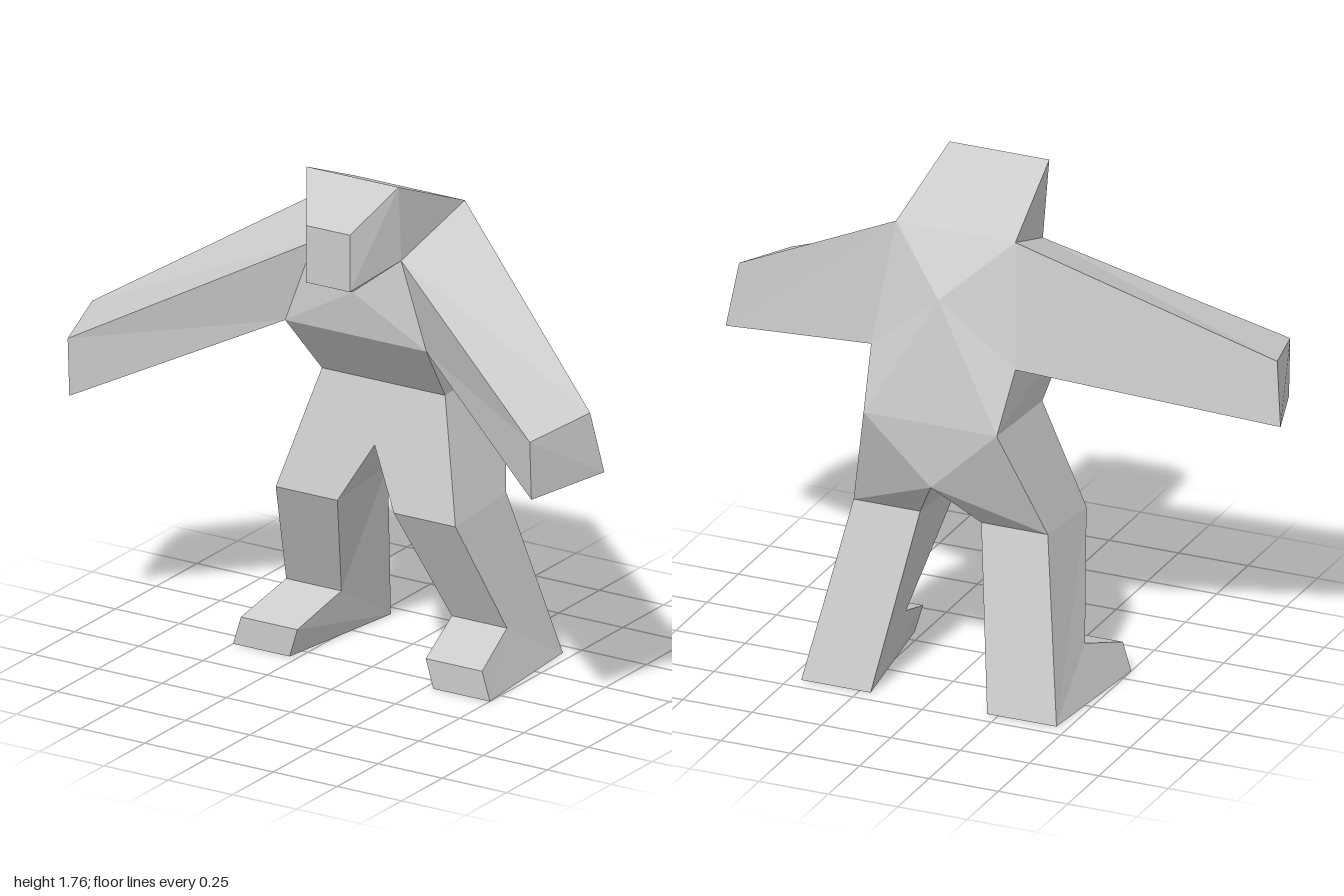
import * as THREE from 'three';

const v = (x, y, z) => new THREE.Vector3(x, y, z);
const mid = p => v(0, p.y, p.z); // where a cross edge meets the centre plane

// Left-half landmarks (+x); the other half is mirrored
const shoulder = v(0.215, 1.61, -0.23), neck = v(0.17, 1.49, 0.09);
const crown = v(0.18, 1.76, 0.12), brow = v(0.085, 1.62, 0.27), jaw = v(0.085, 1.42, 0.27);
const throat = v(0, 1.355, 0.12), spine = v(0, 1.42, -0.37);
const belly = v(0.275, 1.195, 0.1), armpit = v(0.26, 1.2, -0.33);
const waist = v(0.24, 0.98, -0.07), hip = v(0.24, 1.0, -0.435);
const crotchFront = v(0, 0.775, -0.015), crotchBack = v(0, 0.77, -0.43);

// Pairs of leg points: outer and inner
const pair = (outer, inner, y, z) => ({ o: v(outer, y, z), i: v(inner, y, z) });
const knee = pair(0.35, 0.11, 0.575, 0.04), kneeBack = pair(0.35, 0.11, 0.6, -0.27);
const ankle = pair(0.43, 0.215, 0.175, -0.15), toeTop = pair(0.47, 0.25, 0.1, 0.065);
const toe = pair(0.5, 0.28, 0, 0.065), heel = pair(0.46, 0.21, 0, -0.445);

const mirrorFaces = faces => faces.map(f => f.map(p => v(-p.x, p.y, p.z)).reverse());

// Polygons are cut into fans from their first corner
function triangulate(faces) {
  return faces.flatMap(f => f.slice(2).map((p, k) => [f[0], f[k + 1], p]));
}

export function createModel() {
  const model = new THREE.Group();
  const material = new THREE.MeshStandardMaterial({ color: 0xcccccc, flatShading: true });

  function addMesh(name, triangles) {
    const geometry = new THREE.BufferGeometry().setFromPoints(triangles.flat());
    geometry.computeVertexNormals();
    const mesh = new THREE.Mesh(geometry, material);
    mesh.name = name;
    model.add(mesh);
  }
  function addWhole(name, faces) {
    const half = triangulate(faces);
    addMesh(name, [...half, ...mirrorFaces(half)]);
  }
  function addPair(name, faces) {
    const half = triangulate(faces);
    addMesh('left' + name, half);
    addMesh('right' + name, mirrorFaces(half));
  }

  addWhole('head', [
    [mid(crown), crown, shoulder, mid(shoulder)],
    [mid(brow), brow, crown, mid(crown)],
    [mid(jaw), jaw, brow, mid(brow)],
    [throat, jaw, mid(jaw)],
    [throat, neck, jaw],
    [jaw, neck, crown, brow],
    [neck, shoulder, crown],
  ]);

  addWhole('torso', [
    [throat, mid(belly), belly],
    [throat, belly, neck],
    [mid(waist), waist, belly, mid(belly)],
    [belly, waist, hip, armpit],
    [spine, mid(shoulder), shoulder],
    [spine, shoulder, armpit],
    [spine, armpit, hip],
    [spine, hip, mid(hip)],
  ]);

  // Arms: four-sided sleeves from the shoulder opening to a blunt hand
  const root = [neck, belly, armpit, shoulder];
  const hand = [v(0.9, 1.115, 0.45), v(0.9, 0.91, 0.44), v(1, 0.935, 0.15), v(0.97, 1.15, 0.19)];
  const sleeve = root.map((r, k) => {
    const n = (k + 1) % 4;
    return [root[n], hand[n], hand[k], r];
  });
  addPair('Arm', [...sleeve, hand]);

  addWhole('pelvisAndThighs', [
    [mid(waist), crotchFront, waist],
    [waist, crotchFront, knee.i, knee.o],
    [mid(hip), hip, crotchBack],
    [hip, kneeBack.o, crotchBack],
    [crotchBack, kneeBack.o, kneeBack.i],
    [waist, knee.o, kneeBack.o, hip],
    [crotchBack, kneeBack.i, knee.i, crotchFront],
  ]);

  // Lower legs and feet: one strip around the profile, closed by two sides
  const profile = [knee, ankle, toeTop, toe, heel, kneeBack];
  const strip = profile.slice(1).map((b, k) => [profile[k].o, profile[k].i, b.i, b.o]);
  const sides = [[knee, ankle, heel, kneeBack], [ankle, toeTop, toe, heel]];
  addPair('LowerLegAndFoot', [
    ...strip,
    ...sides.map(s => s.map(p => p.o)),
    ...sides.map(s => s.map(p => p.i).reverse()),
  ]);

  return model;
}
